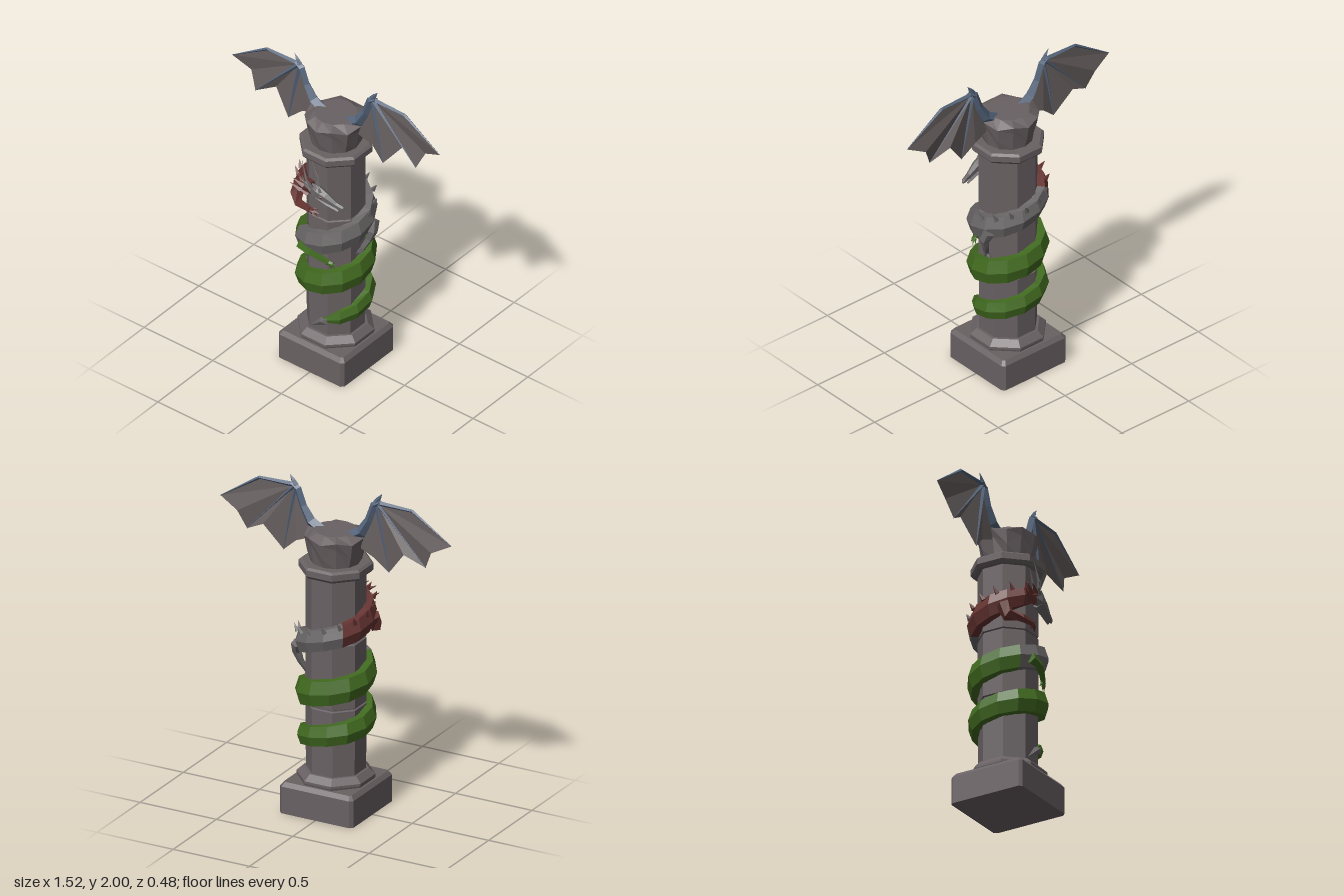
import * as THREE from 'three';
import { ConvexGeometry } from 'three/addons/geometries/ConvexGeometry.js';

const PI = Math.PI;
const V = (x, y, z) => new THREE.Vector3(x, y, z);

function material(name, color) {
  const m = new THREE.MeshStandardMaterial({ color, flatShading: true, side: THREE.DoubleSide });
  m.name = name;
  return m;
}

// Closed skin over a row of rings, each a loop of points
function loft(rings) {
  const n = rings[0].length, pos = [], idx = [];
  rings.forEach(r => r.forEach(p => pos.push(p.x, p.y, p.z)));
  for (let i = 0; i < rings.length - 1; i++) {
    for (let j = 0; j < n; j++) {
      const a = i * n + j, b = i * n + (j + 1) % n;
      idx.push(a, a + n, b, b, a + n, b + n);
    }
  }
  const last = (rings.length - 1) * n;
  for (let j = 1; j < n - 1; j++) idx.push(0, j, j + 1, last, last + j + 1, last + j);
  const g = new THREE.BufferGeometry();
  g.setAttribute('position', new THREE.Float32BufferAttribute(pos, 3));
  g.setIndex(idx);
  g.computeVertexNormals();
  return g;
}

// Tapered limb along points [x, y, z, radius]; depth scales it front to back
function limb(points, depth = 1, sides = 5) {
  const c = points.map(p => V(p[0], p[1], p[2]));
  return loft(c.map((p, i) => {
    const t = c[Math.min(i + 1, c.length - 1)].clone().sub(c[Math.max(i - 1, 0)]).normalize();
    const b = V(0, 0, 1).addScaledVector(t, -t.z).normalize();
    const n = t.clone().cross(b), r = points[i][3];
    return Array.from({ length: sides }, (_, k) => {
      const a = k / sides * 2 * PI;
      return p.clone().addScaledVector(n, Math.cos(a) * r).addScaledVector(b, Math.sin(a) * r * depth);
    });
  }));
}

// Eight-sided turned stone, profile as [distance to flat side, height]
function octagon(profile) {
  return new THREE.LatheGeometry(profile.map(([r, y]) => new THREE.Vector2(r / Math.cos(PI / 8), y)), 8, PI / 8);
}

// Coil keys: [turn angle / PI, height, half height]
const COIL = [[0.08, 0.355, 0.015], [0.25, 0.385, 0.042], [0.5, 0.43, 0.055], [1, 0.51, 0.062], [1.5, 0.56, 0.068],
  [2, 0.625, 0.074], [2.5, 0.7, 0.08], [3, 0.775, 0.078], [3.5, 0.83, 0.073], [4, 0.905, 0.073],
  [4.5, 1.0, 0.076], [5, 1.1, 0.065], [5.5, 1.19, 0.072], [5.8, 1.25, 0.058], [5.97, 1.285, 0.04]];

function coilAt(t) {
  let i = 0;
  while (i < COIL.length - 2 && COIL[i + 1][0] < t) i++;
  const [a, b] = [COIL[i], COIL[i + 1]], f = (t - a[0]) / (b[0] - a[0]);
  const y = a[1] + (b[1] - a[1]) * f, h = a[2] + (b[2] - a[2]) * f;
  const out = V(Math.sin(t * PI), 0, Math.cos(t * PI));
  const r = t < 0.6 ? 0.172 + 0.03 * t : 0.192;
  return { p: out.clone().multiplyScalar(r).setY(y), out, h, w: Math.min(h * 0.65, 0.046) };
}

function coil(from, to) {
  const steps = Math.max(3, Math.round((to - from) * 6)), rings = [];
  for (let i = 0; i <= steps; i++) {
    const { p, out, h, w } = coilAt(from + (to - from) * i / steps);
    rings.push(Array.from({ length: 6 }, (_, k) => {
      const a = k / 6 * 2 * PI;
      return p.clone().addScaledVector(out, Math.cos(a) * w).add(V(0, Math.sin(a) * h * 1.13, 0));
    }));
  }
  return loft(rings);
}

export function createModel() {
  const model = new THREE.Group();
  const stone = material('stone', 0x696163);
  const hide = material('grey hide', 0x6a6667);
  const green = material('green hide', 0x416a1f);
  const red = material('red hide', 0x643330);
  const membrane = material('wing membrane', 0x686060);
  const bone = material('wing bone', 0x55657c);
  const add = (name, geometry, mat, parent = model) => {
    const m = new THREE.Mesh(geometry, mat);
    m.name = name;
    parent.add(m);
    return m;
  };

  // Square base with cut corners and a bevelled top
  const basePoints = [];
  for (const [w, c, y] of [[0.24, 0.222, 0], [0.24, 0.222, 0.165], [0.22, 0.208, 0.19]]) {
    for (const sx of [-1, 1]) for (const sz of [-1, 1]) {
      basePoints.push(V(sx * w, y, sz * c), V(sx * c, y, sz * w));
    }
  }
  add('base', new ConvexGeometry(basePoints), stone);

  // Pillar
  add('plinth', octagon([[0.205, 0.185], [0.21, 0.2], [0.21, 0.215], [0.175, 0.25], [0.1, 0.25]]), stone);
  add('shaft', octagon([[0.16, 0.24], [0.162, 0.65], [0.153, 0.655], [0.153, 0.66], [0.162, 0.665],
    [0.162, 1.055], [0.153, 1.06], [0.153, 1.065], [0.162, 1.07], [0.162, 1.48]]), stone);
  add('collar', octagon([[0.15, 1.465], [0.185, 1.465], [0.2, 1.483], [0.2, 1.52], [0.185, 1.532], [0.05, 1.532]]), stone);

  // Rough bowl-shaped capital: alternate corners shifted for cut facets
  const capital = new THREE.LatheGeometry([[0.145, 1.525], [0.166, 1.62], [0.182, 1.695], [0.125, 1.72], [0, 1.722]]
    .map(p => new THREE.Vector2(...p)), 12);
  const cp = capital.attributes.position;
  for (let i = 0; i < cp.count; i++) {
    const row = i % 5, odd = Math.floor(i / 5) % 2;
    if (row === 1) cp.setY(i, cp.getY(i) + (odd ? 0.035 : -0.025));
    if (row === 2) cp.setY(i, cp.getY(i) + (odd ? 0.006 : -0.015));
  }
  add('capital', capital, stone);

  // Coiled body in three colours
  add('tailCoil', coil(0.08, 3.78), green);
  add('bodyCoil', coil(3.78, 5.22), hide);
  add('neckCoil', coil(5.22, 5.97), red);
  add('tailTip', new ConvexGeometry([V(-0.05, 0.27, 0.165), V(0.02, 0.36, 0.165), V(0.075, 0.375, 0.175),
    V(0.075, 0.335, 0.175), V(0.04, 0.32, 0.165), V(0.035, 0.345, 0.188)]), hide);

  // Back spines
  for (let t = 4.55; t < 5.95; t += 0.13) {
    const { p, out, h, w } = coilAt(t);
    const a = p.clone().addScaledVector(out, w * 0.6).add(V(0, h * 0.75, 0));
    const b = a.clone().addScaledVector(out, 0.018).add(V(0, 0.045, 0))
      .add(V(-Math.cos(t * PI), 0, Math.sin(t * PI)).multiplyScalar(0.02));
    add('spine', limb([[a.x, a.y, a.z, 0.016], [b.x, b.y, b.z, 0.001]], 1, 4), t > 5.22 ? red : hide);
  }

  // Legs with toes
  const leg = (name, points, toes, mat) => {
    const g = new THREE.Group();
    g.name = name;
    model.add(g);
    add('leg', limb(points), mat, g);
    const [x, y, z] = points[points.length - 1];
    for (const [tx, ty, tz] of toes) {
      add('toe', limb([[x, y, z, 0.011], [(x + tx) / 2, (y + ty) / 2 + 0.004, (z + tz) / 2, 0.009], [tx, ty, tz, 0.001]], 1, 4), mat, g);
    }
  };
  leg('hindLeg', [[-0.09, 0.865, 0.21, 0.035], [-0.01, 0.845, 0.218, 0.026], [0.05, 0.815, 0.2, 0.018], [0.09, 0.795, 0.182, 0.016]],
    [[0.125, 0.75, 0.165], [0.135, 0.78, 0.165], [0.065, 0.758, 0.172], [0.1, 0.745, 0.168]], green);
  leg('middleLeg', [[0.21, 1.0, -0.08, 0.035], [0.222, 0.94, -0.055, 0.03], [0.205, 0.88, -0.045, 0.02], [0.178, 0.82, -0.02, 0.017]],
    [[0.17, 0.77, -0.06], [0.165, 0.755, -0.03], [0.168, 0.765, 0.005], [0.17, 0.8, 0.03]], hide);
  leg('foreLeg', [[-0.19, 1.19, 0.09, 0.045], [-0.19, 1.12, 0.12, 0.04], [-0.13, 1.11, 0.175, 0.026], [-0.04, 1.11, 0.185, 0.017]],
    [[0.01, 1.075, 0.175], [0.022, 1.1, 0.175], [0.01, 1.135, 0.178], [-0.035, 1.075, 0.178]], red);

  // Head
  const head = new THREE.Group();
  head.name = 'head';
  model.add(head);
  add('skull', limb([[-0.03, 1.285, 0.19, 0.03], [0.02, 1.275, 0.194, 0.044], [0.075, 1.258, 0.19, 0.034],
    [0.14, 1.228, 0.18, 0.02], [0.185, 1.215, 0.17, 0.016], [0.197, 1.207, 0.167, 0.006]], 0.8, 6), hide, head);
  add('jaw', limb([[0.015, 1.245, 0.188, 0.024], [0.08, 1.212, 0.184, 0.014], [0.155, 1.185, 0.172, 0.006]], 1.2, 4), hide, head);
  for (const [a, m, b] of [
    [[-0.005, 1.3, 0.212], [-0.035, 1.36, 0.23], [-0.07, 1.47, 0.222]],
    [[0.01, 1.3, 0.178], [0, 1.36, 0.17], [-0.04, 1.46, 0.172]],
    [[-0.01, 1.29, 0.22], [-0.04, 1.32, 0.232], [-0.06, 1.38, 0.235]],
    [[0.05, 1.285, 0.205], [0.04, 1.31, 0.208], [0.02, 1.335, 0.21]]]) {
    add('horn', limb([[...a, 0.013], [...m, 0.009], [...b, 0.001]], 1, 4), hide, head);
  }
  for (const [x, y] of [[-0.1, 1.29], [-0.07, 1.24], [-0.12, 1.25], [-0.05, 1.31]]) {
    add('frillSpike', limb([[x + 0.03, y - 0.01, 0.205, 0.017], [x - 0.04, y + 0.025, 0.222, 0.001]], 1, 4), red, head);
  }
  add('eye', new ConvexGeometry([V(0.05, 1.272, 0.22), V(0.075, 1.268, 0.216), V(0.06, 1.256, 0.219), V(0.062, 1.266, 0.224)]), red, head);

  // Wings: membrane fans out from the wrist, bones lie along its folds
  for (const s of [-1, 1]) {
    const wing = new THREE.Group();
    wing.name = s > 0 ? 'leftWing' : 'rightWing';
    model.add(wing);
    const edge = [[0.15, 1.64, 0], [0.255, 1.6, -0.012], [0.345, 1.52, 0.004], [0.46, 1.665, -0.03], [0.585, 1.6, 0.004],
      [0.635, 1.71, -0.022], [0.757, 1.77, 0], [0.5, 1.94, 0]];
    const tri = [];
    for (let i = 0; i < edge.length - 1; i++) {
      for (const [x, y, z] of [[0.268, 1.935, 0], edge[i], edge[i + 1]]) tri.push(s * x, y, z);
    }
    const g = new THREE.BufferGeometry();
    g.setAttribute('position', new THREE.Float32BufferAttribute(tri, 3));
    g.computeVertexNormals();
    add('membrane', g, membrane, wing);
    const bones = (name, pts, depth) => add(name, limb(pts.map(([x, ...r]) => [s * x, ...r]), depth, 4), bone, wing);
    bones('arm', [[0.09, 1.69, 0, 0.035], [0.165, 1.735, 0, 0.035], [0.215, 1.82, 0, 0.025], [0.25, 1.92, 0, 0.024], [0.29, 1.945, 0, 0.018]], 0.9);
    bones('thumb', [[0.262, 1.935, 0, 0.02], [0.28, 1.965, 0, 0.014], [0.302, 1.998, 0, 0.001]], 0.8);
    bones('leadingFinger', [[0.26, 1.938, 0, 0.016], [0.5, 1.935, 0, 0.01], [0.757, 1.77, 0, 0.002]], 1);
    bones('middleFinger', [[0.268, 1.935, 0, 0.014], [0.43, 1.765, 0.003, 0.006], [0.585, 1.6, 0.004, 0.002]], 1);
    bones('innerFinger', [[0.262, 1.935, 0, 0.014], [0.305, 1.73, 0.003, 0.01], [0.345, 1.52, 0.004, 0.002]], 1);
  }
  return model;
}
